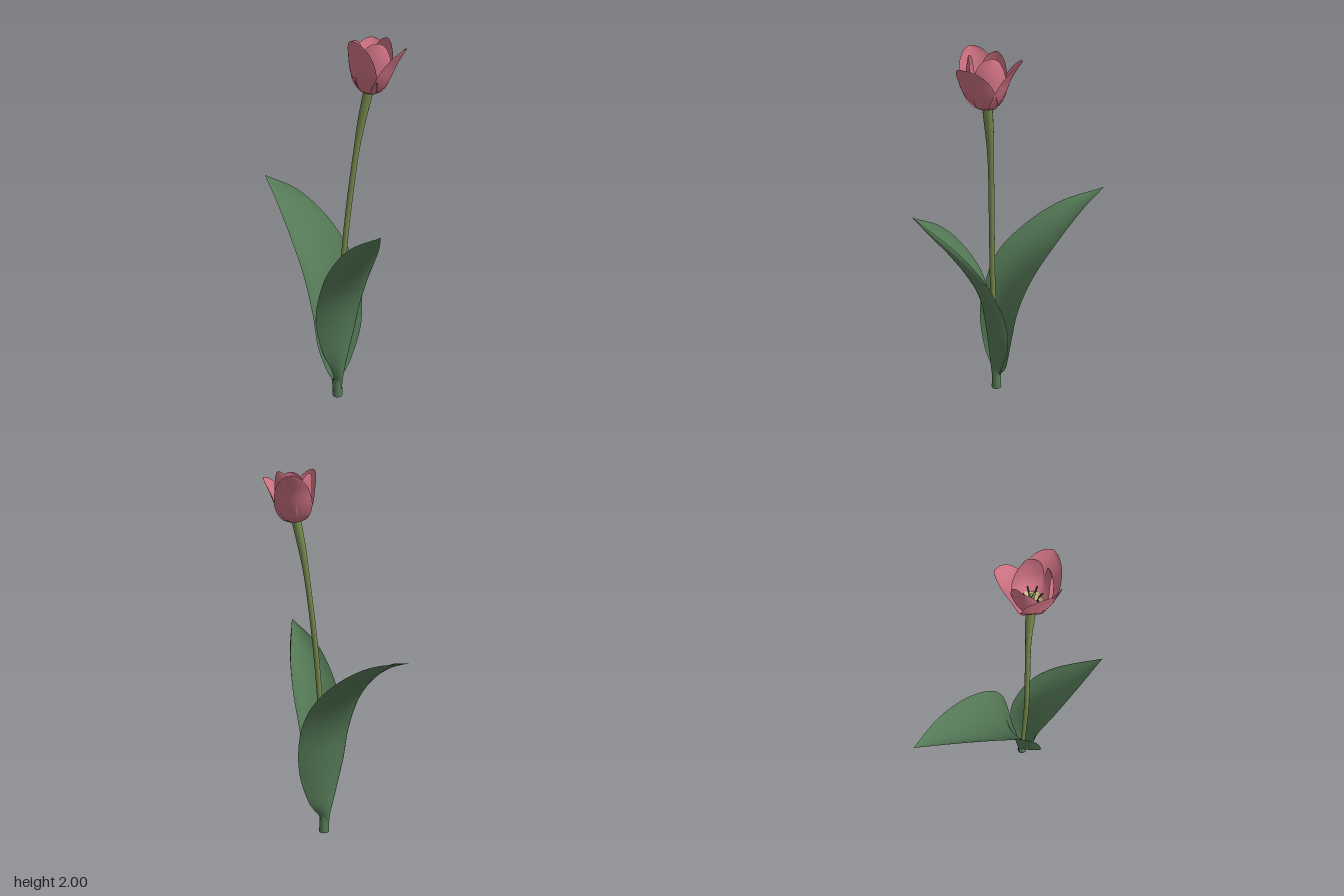
import * as THREE from 'three';
import { ParametricGeometry } from 'three/addons/geometries/ParametricGeometry.js';

const V = (x, y, z) => new THREE.Vector3(x, y, z);
const curve = (pts) => new THREE.CatmullRomCurve3(pts.map((p) => V(...p)));

function material(name, color) {
  const m = new THREE.MeshStandardMaterial({ color, side: THREE.DoubleSide });
  m.name = name;
  return m;
}

function mesh(name, geometry, mat) {
  const m = new THREE.Mesh(geometry, mat);
  m.name = name;
  return m;
}

function surface(fn, nu, nv) {
  const g = new ParametricGeometry(fn, nu, nv);
  g.computeVertexNormals();
  return g;
}

// Leaf blade: a parabolic cross-section swept through two edges and a midrib
function leafGeometry(edgeA, midrib, edgeB) {
  const [a, m, b] = [edgeA, midrib, edgeB].map(curve);
  return surface((u, v, out) => {
    const s = u * 2 - 1;
    out.set(0, 0, 0)
      .addScaledVector(a.getPoint(v), (s * (s - 1)) / 2)
      .addScaledVector(m.getPoint(v), 1 - s * s)
      .addScaledVector(b.getPoint(v), (s * (s + 1)) / 2);
  }, 16, 54);
}

// Tube whose radius varies along its path
function taperedTube(path, segments, sides, radiusAt) {
  const g = new THREE.TubeGeometry(path, segments, 1, sides);
  const p = g.attributes.position;
  const v = V(0, 0, 0);
  for (let i = 0; i < p.count; i++) {
    const t = Math.floor(i / (sides + 1)) / segments;
    const c = path.getPointAt(t);
    v.fromBufferAttribute(p, i).sub(c).multiplyScalar(radiusAt(t)).add(c);
    p.setXYZ(i, v.x, v.y, v.z);
  }
  g.computeVertexNormals();
  return g;
}

// Cupped, round-tipped petal facing +x; extent < 1 and an inset give the patch at its base
function petalGeometry(tipR, height, belly, width, extent = 1, inset = 0) {
  const rib = curve([
    [0.008, 0, 0], [0.05 * belly, 0.02, 0], [0.088 * belly, 0.32 * height, 0],
    [0.065 * belly + tipR * 0.34, 0.67 * height, 0], [tipR, height, 0],
  ]);
  return surface((u, v, out) => {
    const s = u * 2 - 1;
    const k = Math.sin((v * Math.PI) / 2);
    const t = k * extent;
    const c = rib.getPoint(t);
    const swell = 0.12 + 0.88 * Math.sin((Math.min(1, t / 0.65) * Math.PI) / 2);
    const w = width * swell * Math.sqrt(Math.max(0, 1 - k ** 5));
    const curl = 0.5 - 0.2 * t * t;
    out.set(c.x - inset - curl * w * s * s, c.y + inset, w * s);
  }, 16, 28);
}

export function createModel() {
  const group = new THREE.Group();
  const leafGreen = material('leaf green', 0x557a57);
  const stemGreen = material('stem green', 0x768a4d);
  const petalPink = material('petal pink', 0xcf7283);
  const cream = material('petal base cream', 0xd2b78c);
  const dark = material('anther dark green', 0x34492f);

  // Stem
  const stemPath = curve([
    [0.132, 0, 0.018], [0.142, 0.4, 0.018], [0.152, 0.75, 0.015], [0.165, 1.05, -0.001],
    [0.189, 1.4, -0.03], [0.208, 1.58, -0.047], [0.235, 1.745, -0.064],
  ]);
  const stemR = (t) => 0.0145 + 0.009 * THREE.MathUtils.smoothstep(t, 0.8, 1);
  group.add(mesh('stem', taperedTube(stemPath, 48, 14, stemR), stemGreen));

  // Sheath wrapped round the foot of the stem
  const sheath = mesh('baseSheath', new THREE.CylinderGeometry(0.024, 0.028, 0.11, 18, 1, true), leafGreen);
  sheath.position.set(0.133, 0.055, 0.018);
  group.add(sheath);

  // Leaves: narrow at the foot, then swelling; the right one wraps behind the stem
  group.add(mesh('rightLeaf', leafGeometry(
    [[0.13, 0, 0.043], [0.13, 0.09, 0.042], [0.13, 0.2, 0.112], [0.11, 0.4, 0.178], [0.08, 0.57, 0.178],
      [0, 0.78, 0.152], [-0.12, 0.92, 0.09], [-0.3, 1.055, -0.02], [-0.5, 1.13, -0.165]],
    [[0.105, 0, 0.02], [0.098, 0.09, 0.02], [0.09, 0.2, 0.02], [0.068, 0.4, 0.01], [0.02, 0.64, 0],
      [-0.08, 0.83, -0.03], [-0.21, 0.97, -0.075], [-0.36, 1.07, -0.12], [-0.5, 1.13, -0.165]],
    [[0.13, 0, -0.005], [0.138, 0.09, -0.01], [0.155, 0.2, -0.085], [0.175, 0.4, -0.148], [0.145, 0.63, -0.177],
      [0.06, 0.8, -0.195], [-0.1, 0.96, -0.21], [-0.3, 1.08, -0.2], [-0.5, 1.13, -0.165]],
  ), leafGreen));
  group.add(mesh('leftLeaf', leafGeometry(
    [[0.13, 0, 0.043], [0.125, 0.09, 0.036], [0.12, 0.18, 0.06], [0.1, 0.32, 0.118], [0.072, 0.52, 0.142],
      [0.1, 0.68, 0.153], [0.18, 0.86, 0.185], [0.32, 1.04, 0.21], [0.497, 1.155, 0.217]],
    [[0.157, 0, 0.02], [0.163, 0.09, 0.02], [0.17, 0.2, 0.02], [0.195, 0.45, 0.01], [0.24, 0.67, 0.03],
      [0.3, 0.82, 0.07], [0.375, 0.96, 0.12], [0.44, 1.06, 0.165], [0.497, 1.155, 0.217]],
    [[0.13, 0, -0.005], [0.135, 0.09, -0.004], [0.14, 0.18, -0.045], [0.15, 0.34, -0.1], [0.17, 0.5, -0.112],
      [0.23, 0.7, -0.09], [0.295, 0.85, -0.045], [0.37, 0.985, 0.04], [0.497, 1.155, 0.217]],
  ), leafGreen));

  // Flower: three flared outer petals alternate with three inner ones, two of them curling in
  const flower = new THREE.Group();
  flower.name = 'flower';
  flower.position.set(0.238, 1.733, -0.068);
  flower.rotation.z = -0.08;
  group.add(flower);
  const petals = [
    // name, direction, tip radius, height, belly, half width
    ['outerPetal', -14, 0.158, 0.24, 1, 0.1],
    ['outerPetal', 105, 0.136, 0.264, 1, 0.1],
    ['outerPetal', 235, 0.178, 0.23, 1, 0.1],
    ['innerPetal', 46, 0.066, 0.255, 0.94, 0.085],
    ['innerPetal', 168, 0.105, 0.24, 0.94, 0.085],
    ['innerPetal', 290, 0.08, 0.26, 0.96, 0.085],
  ];
  for (const [name, angle, tipR, height, belly, width] of petals) {
    const petal = new THREE.Group();
    petal.name = name;
    petal.rotation.y = -THREE.MathUtils.degToRad(angle);
    petal.add(mesh('petalBlade', petalGeometry(tipR, height, belly, width), petalPink));
    petal.add(mesh('petalBasePatch', petalGeometry(tipR, height, belly, width * 0.95, 0.33, 0.003), cream));
    flower.add(petal);
  }

  // Pistil with a three-lobed top
  const pistil = mesh('pistil', new THREE.CylinderGeometry(0.008, 0.01, 0.08, 10), stemGreen);
  pistil.position.y = 0.045;
  flower.add(pistil);
  for (let i = 0; i < 3; i++) {
    const a = (i * Math.PI * 2) / 3;
    const lobe = mesh('stigmaLobe', new THREE.SphereGeometry(0.008, 10, 8), stemGreen);
    lobe.position.set(Math.cos(a) * 0.008, 0.088, Math.sin(a) * 0.008);
    flower.add(lobe);
  }

  // Stamens
  for (let i = 0; i < 6; i++) {
    const stamen = new THREE.Group();
    stamen.name = 'stamen';
    stamen.rotation.y = (i * Math.PI) / 3 + 0.3;
    const path = curve([[0.01, 0.015, 0], [0.022, 0.045, 0], [0.03, 0.075, 0]]);
    stamen.add(mesh('filament', taperedTube(path, 6, 6, () => 0.0025), dark));
    const anther = mesh('anther', new THREE.CapsuleGeometry(0.004, 0.028, 4, 8), dark);
    anther.position.set(0.036, 0.088, 0);
    anther.rotation.z = -0.45;
    stamen.add(anther);
    flower.add(stamen);
  }
  return group;
}
